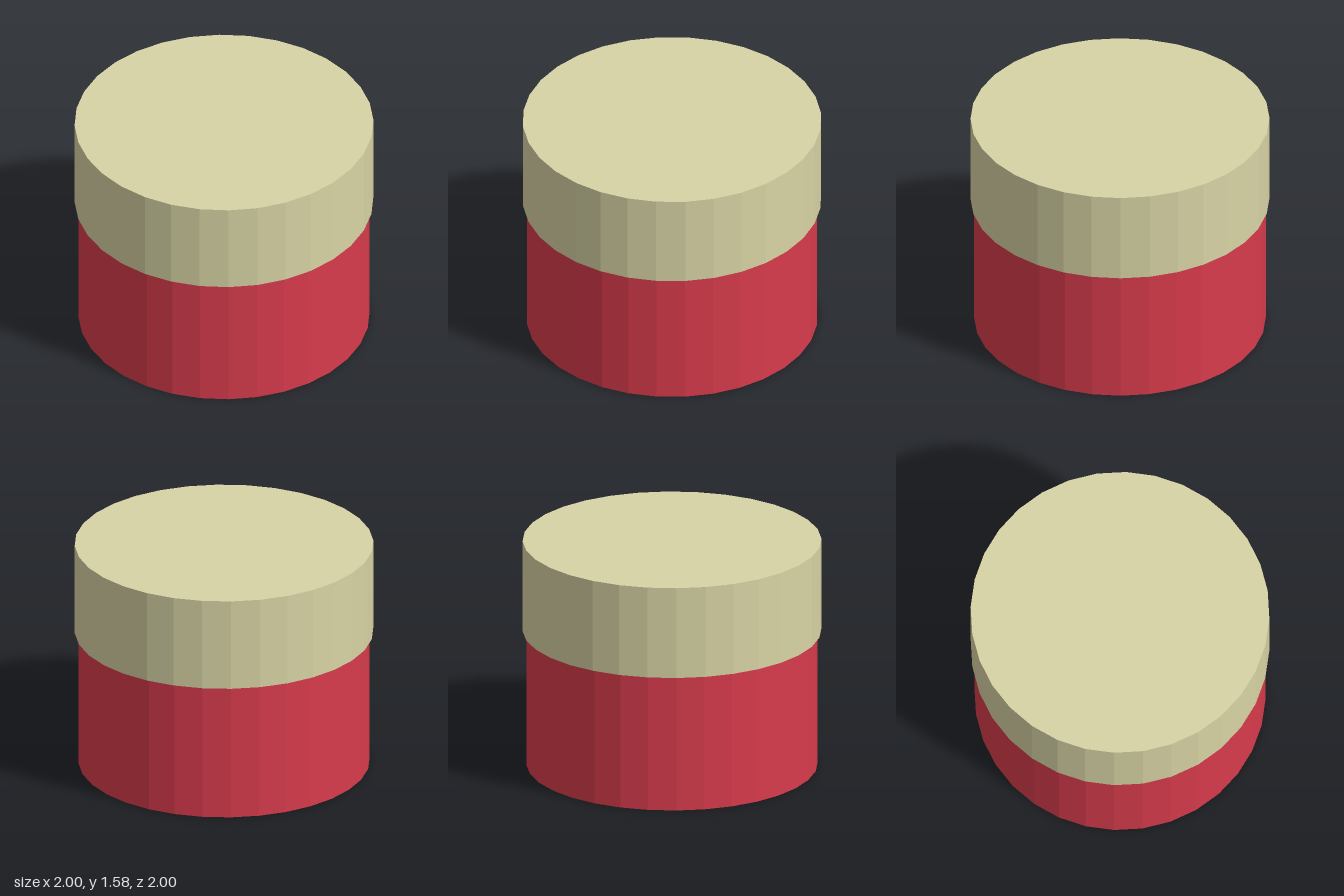
import * as THREE from 'three';

const SIDES = 32;

// Faceted upright drum standing between two heights
function drum(name, radius, bottom, top, color) {
  const geometry = new THREE.CylinderGeometry(radius, radius, top - bottom, SIDES);
  const material = new THREE.MeshStandardMaterial({ color, flatShading: true });
  const mesh = new THREE.Mesh(geometry, material);
  mesh.name = name;
  mesh.position.y = (bottom + top) / 2;
  return mesh;
}

export function createModel() {
  const model = new THREE.Group();
  model.name = 'liddedContainer';
  // Red body, with the slightly wider pale lid overhanging it
  model.add(drum('body', 0.975, 0, 0.95, 0xd83b4c));
  model.add(drum('lid', 1, 0.945, 1.58, 0xd8d4a5));
  return model;
}
